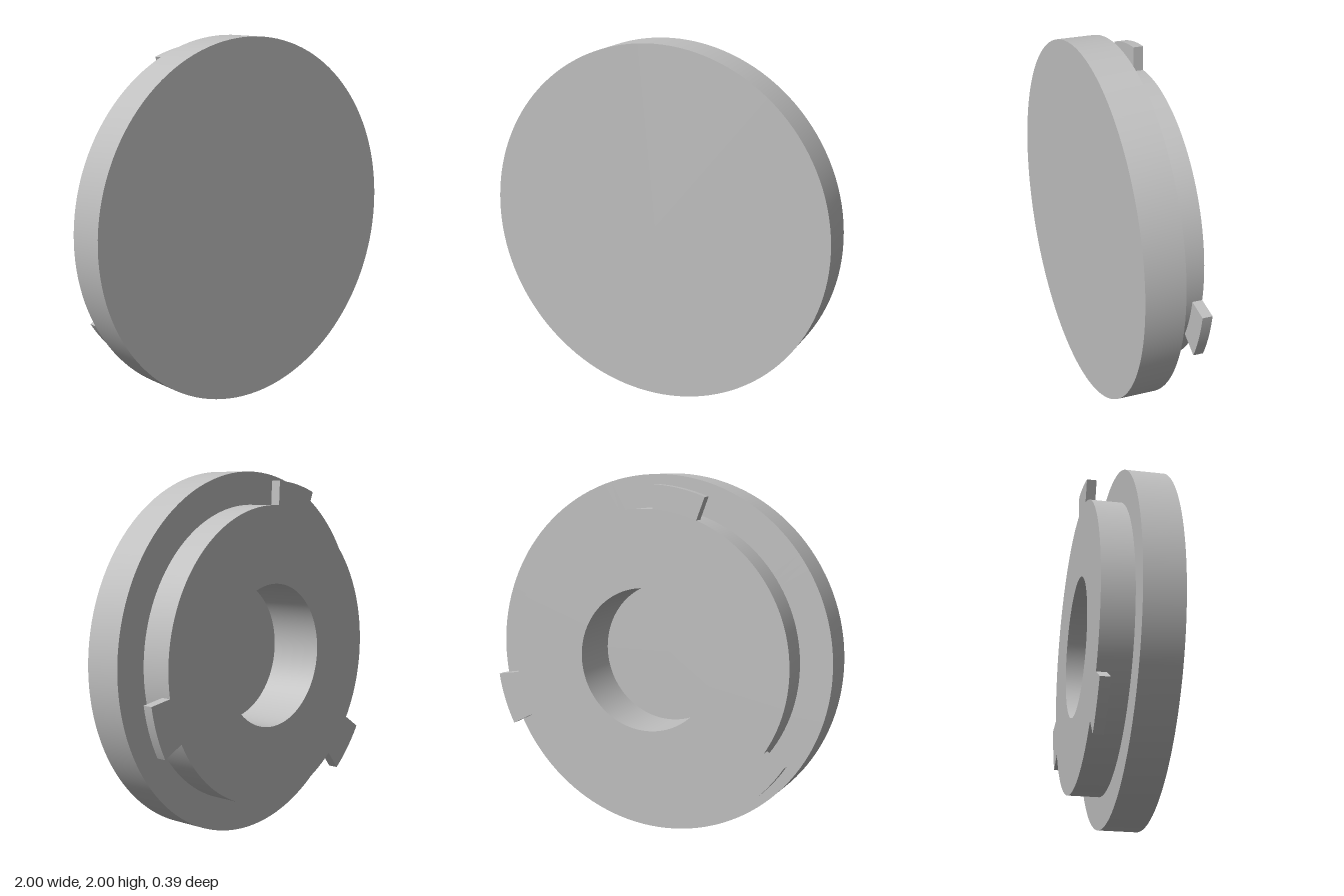
import * as THREE from 'three';
import { toCreasedNormals } from 'three/addons/utils/BufferGeometryUtils.js';

export function createModel() {
  const group = new THREE.Group();
  group.name = 'bayonetCap';
  const grey = new THREE.MeshStandardMaterial({ color: 0xbfbfbf });
  grey.name = 'grey';

  const back = -0.195, front = 0.195, step = -0.02;
  const hubR = 0.82, tabR = 0.951, holeR = 0.395;

  // Cap: wide front disc, narrower hub behind it and a blind round recess
  const profile = [
    [0, 0.12], [holeR, 0.12], [holeR, back], [hubR, back],
    [hubR, step], [1, step], [1, front], [0, front],
  ].map(([r, z]) => new THREE.Vector2(r, z));
  const capGeo = new THREE.LatheGeometry(profile, 128);
  capGeo.rotateX(Math.PI / 2);
  const cap = new THREE.Mesh(toCreasedNormals(capGeo, 0.5), grey);
  cap.name = 'cap';
  cap.position.y = 1;
  group.add(cap);

  // Three locking tabs: ring sectors flush with the back of the hub
  const a0 = THREE.MathUtils.degToRad(93), a1 = THREE.MathUtils.degToRad(111);
  const sector = new THREE.Shape();
  sector.absarc(0, 0, tabR, a0, a1, false);
  sector.absarc(0, 0, hubR - 0.002, a1, a0, true);
  sector.closePath();
  const tabGeo = toCreasedNormals(
    new THREE.ExtrudeGeometry(sector, { depth: 0.055, bevelEnabled: false, curveSegments: 12 }), 0.5);
  for (let i = 0; i < 3; i++) {
    const tab = new THREE.Mesh(tabGeo, grey);
    tab.name = 'lockingTab' + (i + 1);
    tab.position.set(0, 1, back);
    tab.rotation.z = (-i * Math.PI * 2) / 3;
    group.add(tab);
  }
  return group;
}
